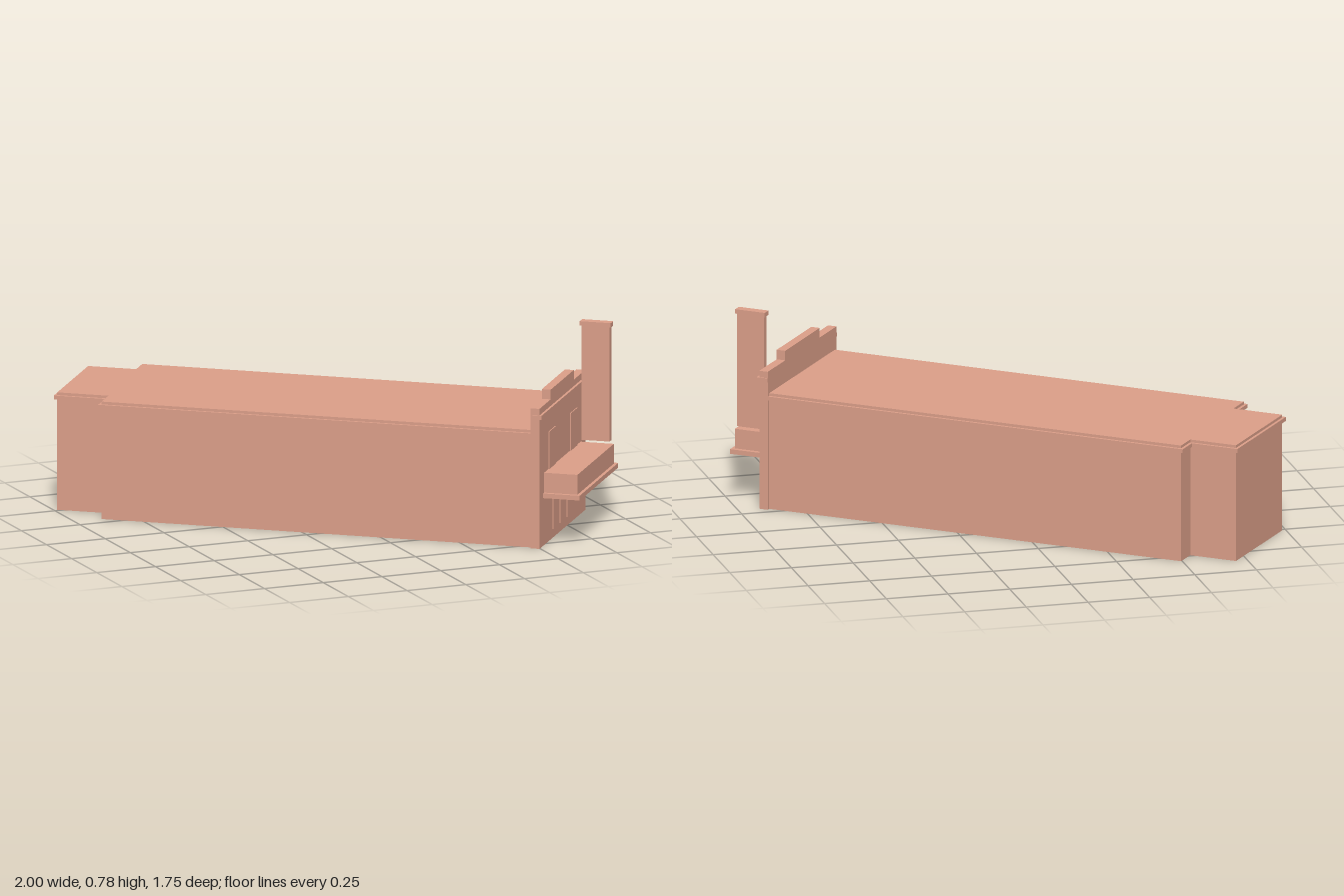
import * as THREE from 'three';

const material = new THREE.MeshStandardMaterial({
  color: 0xdc9f89, flatShading: true, side: THREE.DoubleSide,
});

// Drops the triangles lying on the ground, leaving a shell open below
function openBelow(geometry) {
  const source = geometry.index ? geometry.toNonIndexed() : geometry;
  const p = source.attributes.position;
  const kept = [];
  for (let i = 0; i < p.count; i += 3) {
    if (Math.max(p.getY(i), p.getY(i + 1), p.getY(i + 2)) < 1e-4) continue;
    for (let j = i; j < i + 3; j++) kept.push(p.getX(j), p.getY(j), p.getZ(j));
  }
  const shell = new THREE.BufferGeometry();
  shell.setAttribute('position', new THREE.Float32BufferAttribute(kept, 3));
  shell.computeVertexNormals();
  return shell;
}

// Hall plan: wide auditorium with a narrower rear, grown outward by d
function hallPlan(d) {
  return [
    [-0.317 - d, 0.866], [0.323 + d, 0.866],
    [0.323 + d, -0.894 - d], [0.234 + d, -0.894 - d],
    [0.234 + d, -1.089 - d], [-0.217 - d, -1.089 - d],
    [-0.217 - d, -0.881 - d], [-0.317 - d, -0.881 - d],
  ].map(([x, z]) => new THREE.Vector2(x, -z));
}

function extrudeUp(shape, y0, y1) {
  return new THREE.ExtrudeGeometry(shape, { depth: y1 - y0, bevelEnabled: false })
    .rotateX(-Math.PI / 2).translate(0, y0, 0);
}

// Box given by its limits on each axis
function box(x0, x1, y0, y1, z0, z1) {
  return new THREE.BoxGeometry(x1 - x0, y1 - y0, z1 - z0)
    .translate((x0 + x1) / 2, (y0 + y1) / 2, (z0 + z1) / 2);
}

export function createModel() {
  const model = new THREE.Group();
  model.name = 'hall';
  const building = new THREE.Group();
  building.name = 'building';
  building.rotation.y = 0.895; // the hall stands diagonally on its plot
  model.add(building);

  const add = (name, geometry) => {
    const mesh = new THREE.Mesh(geometry, material);
    mesh.name = name;
    building.add(mesh);
  };

  // Walls with flat roof, and the cornice running round them
  add('wallsAndRoof', openBelow(extrudeUp(new THREE.Shape(hallPlan(0)), 0, 0.473)));
  const ring = new THREE.Shape(hallPlan(0.011));
  ring.holes.push(new THREE.Path(hallPlan(0)));
  add('cornice', extrudeUp(ring, 0.446, 0.462));

  // Tall front with its moulding and stepped parapet
  add('facade', openBelow(box(-0.332, 0.337, 0, 0.564, 0.866, 0.902)));
  add('facadeMoulding', box(-0.337, 0.342, 0.521, 0.538, 0.866, 0.912));
  add('parapet', box(-0.169, 0.168, 0.564, 0.603, 0.866, 0.902));

  // Raised window and door panels
  for (const x of [-0.153, 0.159]) add('window', box(x - 0.049, x + 0.049, 0.288, 0.442, 0.897, 0.906));
  for (const x of [-0.105, -0.003, 0.102]) add('door', box(x - 0.038, x + 0.038, 0.036, 0.164, 0.897, 0.906));

  // Entrance canopy
  add('canopySlab', box(-0.279, 0.285, 0.192, 0.211, 0.902, 1.05));
  add('canopyBox', box(-0.264, 0.267, 0.211, 0.291, 0.902, 1.037));

  // Upright sign fin fixed to the moulding above the canopy
  add('signFin', box(0.247, 0.27, 0.304, 0.765, 0.912, 1.026));
  add('signCap', box(0.24, 0.276, 0.765, 0.783, 0.906, 1.032));

  return model;
}
